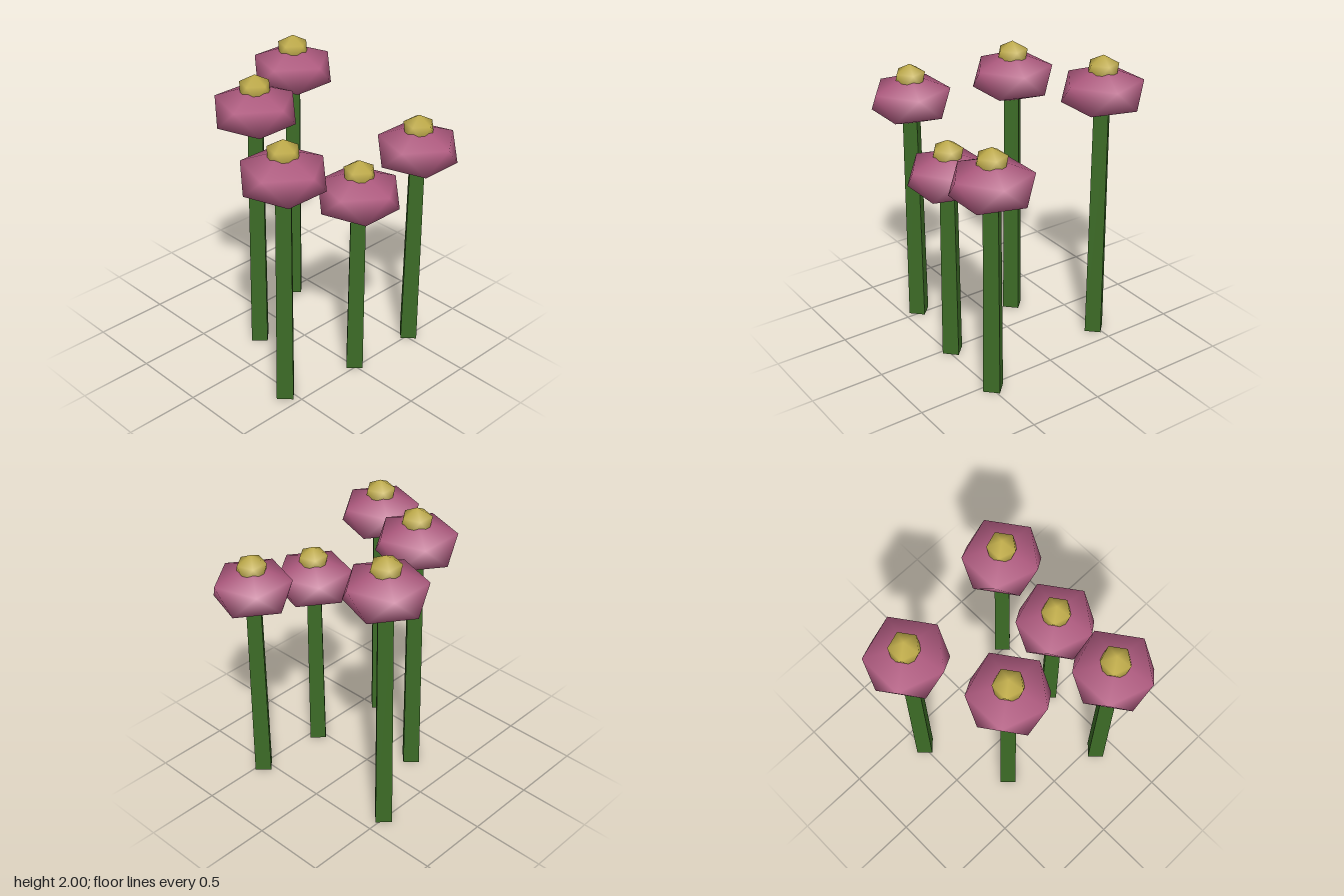
import * as THREE from 'three';

// Smooth five-sided bud: a tip, two staggered rings of five, and a lower tip
function budGeometry(radius, halfHeight) {
  const ringR = radius * 0.894, ringY = halfHeight * 0.447;
  const pos = [0, halfHeight, 0];
  for (const [y, offset] of [[ringY, 0], [-ringY, 0.5]]) {
    for (let i = 0; i < 5; i++) {
      const a = ((i + offset) / 5) * Math.PI * 2;
      pos.push(ringR * Math.cos(a), y, -ringR * Math.sin(a));
    }
  }
  pos.push(0, -halfHeight, 0);
  const index = [];
  for (let i = 0; i < 5; i++) {
    const u = 1 + i, u2 = 1 + (i + 1) % 5, l = 6 + i, l2 = 6 + (i + 1) % 5;
    index.push(0, u, u2, u, l, u2, l, l2, u2, 11, l2, l);
  }
  const g = new THREE.BufferGeometry();
  g.setAttribute('position', new THREE.Float32BufferAttribute(pos, 3));
  g.setIndex(index);
  g.computeVertexNormals();
  return g;
}

export function createModel() {
  const green = new THREE.MeshStandardMaterial({ color: 0x3c6b26, flatShading: true });
  green.name = 'stemGreen';
  const pink = new THREE.MeshStandardMaterial({ color: 0xb05b80 });
  pink.name = 'petalPink';
  const yellow = new THREE.MeshStandardMaterial({ color: 0xc2ae4b });
  yellow.name = 'centreYellow';

  const headGeo = budGeometry(0.29, 0.173);
  const centreGeo = budGeometry(0.11, 0.096);

  // x, z and height of each flower head
  const flowers = [
    [-0.485, -0.353, 1.76],
    [-0.206, 0.231, 1.74],
    [0.386, 0.539, 1.615],
    [0.465, -0.023, 1.305],
    [0.486, -0.537, 1.452],
  ];

  const model = new THREE.Group();
  model.name = 'flowers';
  flowers.forEach(([x, z, h], i) => {
    const flower = new THREE.Group();
    flower.name = 'flower' + (i + 1);
    flower.position.set(x, 0, z);
    const add = (name, geo, mat, y) => {
      const m = new THREE.Mesh(geo, mat);
      m.name = name;
      m.position.y = y;
      flower.add(m);
    };
    // Tapered square stem ending inside the head
    add('stem', new THREE.CylinderGeometry(0.066, 0.077, h, 4), green, h / 2);
    add('petals', headGeo, pink, h);
    add('flowerCentre', centreGeo, yellow, h + 0.144);
    model.add(flower);
  });
  return model;
}
